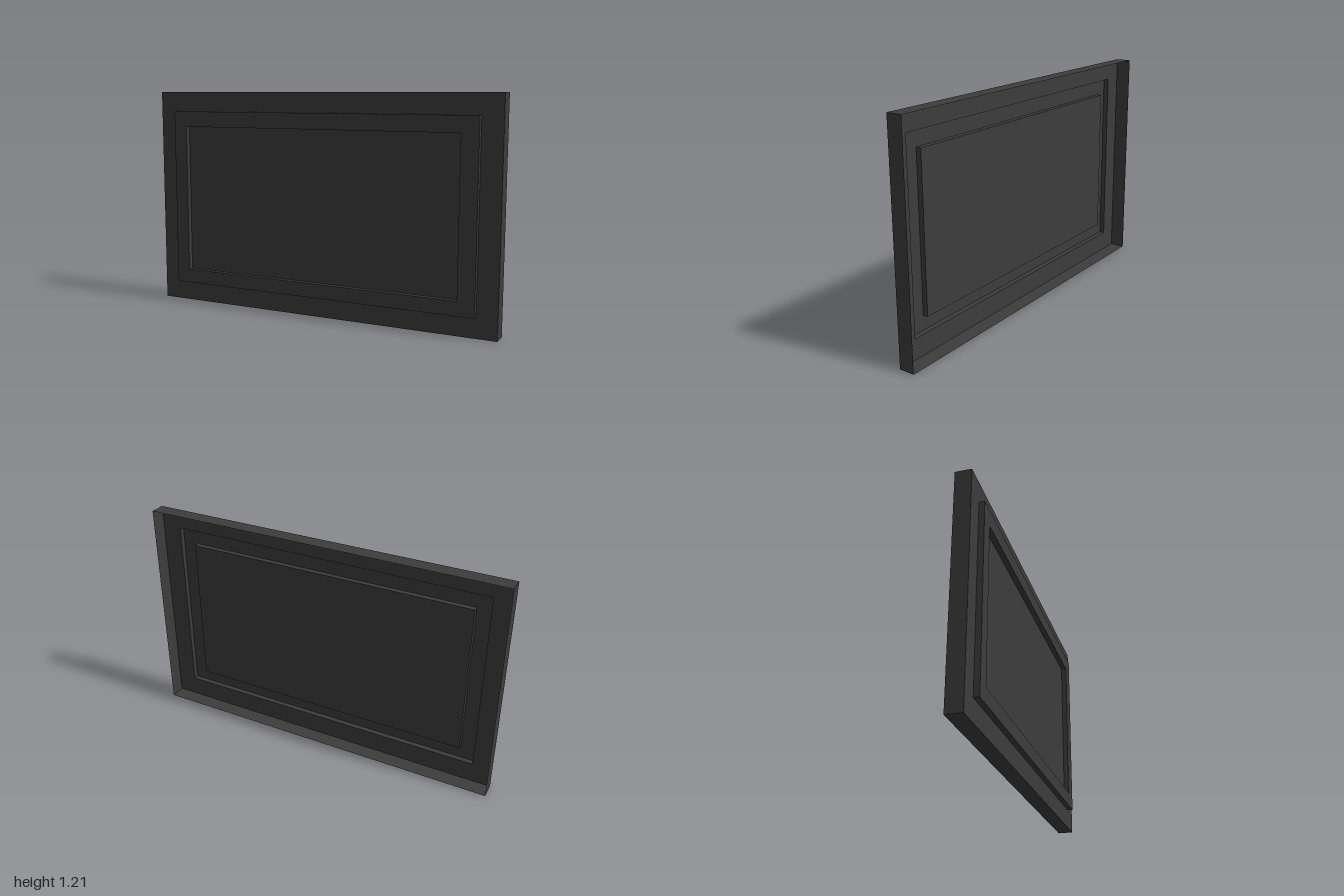
import * as THREE from 'three';

// Rectangular loop: left, right, bottom, top and depth
const rect = (x0, x1, y0, y1, z) => [[x0, y0, z], [x1, y0, z], [x1, y1, z], [x0, y1, z]];

// Four flat quads joining one rectangular loop to the next
function band(a, b) {
  const points = [];
  for (let i = 0; i < 4; i++) {
    const j = (i + 1) % 4;
    points.push(...a[i], ...a[j], ...b[j], ...a[i], ...b[j], ...b[i]);
  }
  const geometry = new THREE.BufferGeometry();
  geometry.setAttribute('position', new THREE.Float32BufferAttribute(points, 3));
  geometry.computeVertexNormals();
  return geometry;
}

export function createModel() {
  const group = new THREE.Group();
  const charcoal = new THREE.MeshStandardMaterial({ color: 0x3c3c3c, side: THREE.DoubleSide });
  charcoal.name = 'charcoal';

  const back = -0.057, face = 0.028, raised = 0.057;
  const outer = [-1, 1, 0, 1.213];
  const frame = [-0.892, 0.89, 0.11, 1.104];
  const inner = [-0.812, 0.798, 0.188, 1.018];

  const add = (name, geometry) => {
    const mesh = new THREE.Mesh(geometry, charcoal);
    mesh.name = name;
    group.add(mesh);
    return mesh;
  };

  // Hollow casing, open at the back
  add('casingWalls', band(rect(...outer, back), rect(...outer, face)));
  add('frontBorder', band(rect(...outer, face), rect(...frame, face)));

  // Raised frame, hollow behind
  add('frameOuterWalls', band(rect(...frame, face), rect(...frame, raised)));
  add('frameFace', band(rect(...frame, raised), rect(...inner, raised)));
  add('frameInnerWalls', band(rect(...inner, raised), rect(...inner, face)));

  // Flat centre panel
  const [x0, x1, y0, y1] = inner;
  add('centrePanel', new THREE.PlaneGeometry(x1 - x0, y1 - y0))
    .position.set((x0 + x1) / 2, (y0 + y1) / 2, face);

  return group;
}
